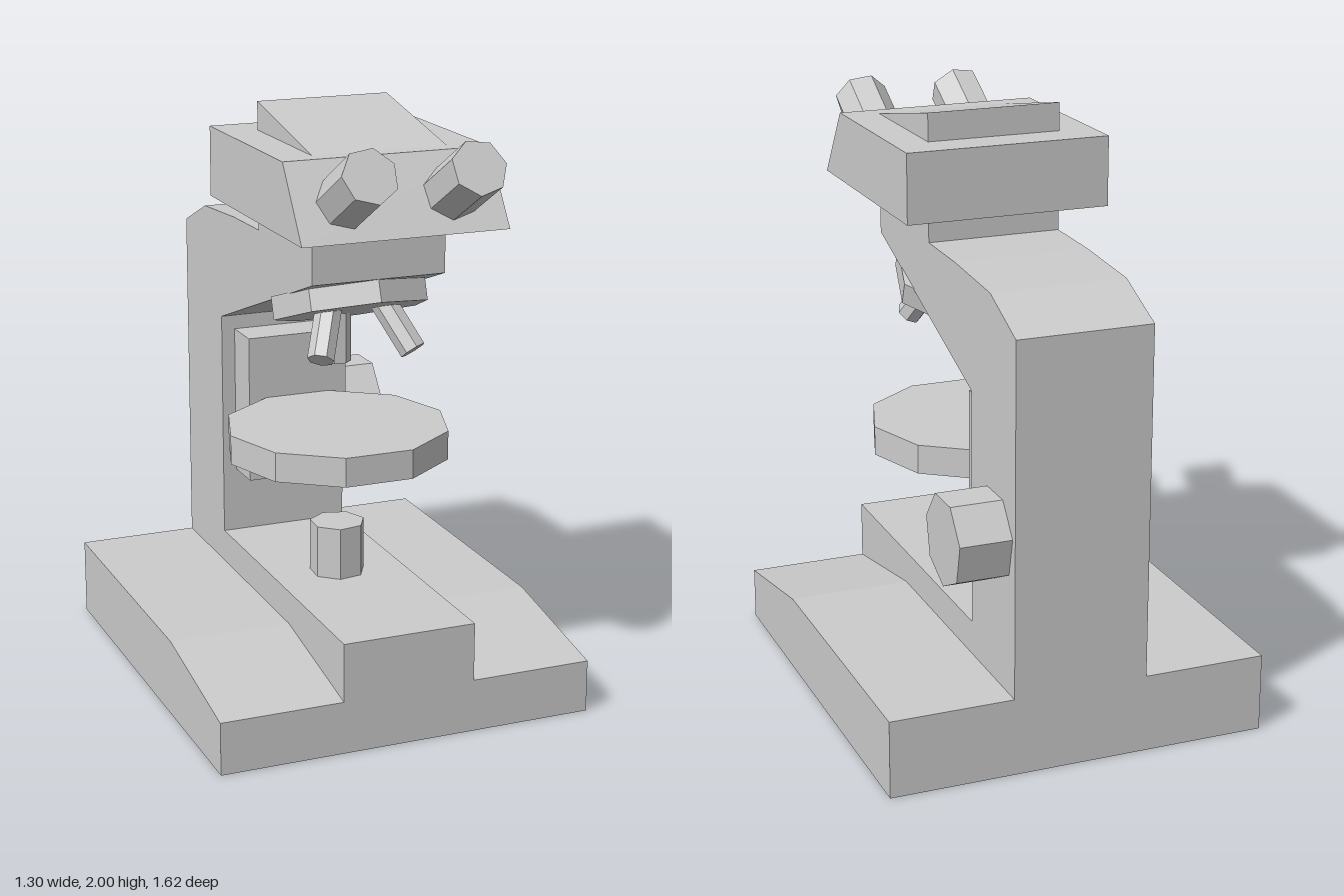
import * as THREE from 'three';

const material = new THREE.MeshStandardMaterial({ color: 0xcccccc, flatShading: true });

// Side profile of [z, y] points, extruded across x and centred on it
function slab(name, halfWidth, points) {
  const shape = new THREE.Shape(points.map(([z, y]) => new THREE.Vector2(z, y)));
  const geometry = new THREE.ExtrudeGeometry(shape, { depth: halfWidth * 2, bevelEnabled: false });
  geometry.translate(0, 0, -halfWidth).rotateY(-Math.PI / 2);
  const mesh = new THREE.Mesh(geometry, material);
  mesh.name = name;
  return mesh;
}

// Faceted rod between two points, with its first corner at the given roll in degrees
function rod(name, from, to, radius, sides = 7, roll = 0) {
  const a = new THREE.Vector3(...from);
  const axis = new THREE.Vector3(...to).sub(a);
  const geometry = new THREE.CylinderGeometry(
    radius, radius, axis.length(), sides, 1, false, THREE.MathUtils.degToRad(roll));
  const mesh = new THREE.Mesh(geometry, material);
  mesh.position.copy(a).addScaledVector(axis, 0.5);
  mesh.quaternion.setFromUnitVectors(new THREE.Vector3(0, 1, 0), axis.normalize());
  mesh.name = name;
  return mesh;
}

export function createModel() {
  const model = new THREE.Group();
  model.name = 'microscope';

  // Foot with a sloping front, and the C-shaped frame standing on it
  model.add(slab('base', 0.65, [
    [0.69, 0], [0.69, 0.18], [0.2, 0.265], [-0.81, 0.265], [-0.81, 0],
  ]));
  model.add(slab('frame', 0.23, [
    [0.69, 0.18], [0.69, 0.38], [-0.44, 0.38], [-0.44, 1.18], [0.42, 1.49],
    [0.42, 1.67], [-0.06, 1.67], [-0.06, 1.57], [-0.3, 1.565], [-0.6, 1.545],
    [-0.81, 1.455], [-0.81, 0.265], [0.2, 0.265],
  ]));

  // Viewing head with a wedge on top
  model.add(slab('head', 0.35, [
    [0.64, 1.67], [0.48, 1.905], [-0.19, 1.905], [-0.19, 1.67],
  ]));
  model.add(slab('headWedge', 0.23, [[0.42, 1.905], [-0.06, 2], [-0.06, 1.905]]));

  // Mirrored pairs: eyepieces and the two outer objectives
  for (const side of [-1, 1]) {
    model.add(rod('eyepiece', [side * 0.18, 1.72, 0.453], [side * 0.18, 1.9, 0.765],
      0.092, 7, 180 + side * 17));
    model.add(rod('outerObjective', [side * 0.163, 1.215, 0.327], [side * 0.095, 1.365, 0.23], 0.045));
  }

  // Tilted nosepiece disc and rear objective
  model.add(rod('nosepiece', [0, 1.332, 0.196], [0, 1.405, 0.17], 0.26));
  model.add(rod('rearObjective', [0, 1.13, 0.07], [0, 1.31, 0.07], 0.046, 7, 17));

  // Stage, its carrier on the column, and the lamp below
  model.add(rod('stage', [0, 0.81, 0.07], [0, 0.91, 0.07], 0.383, 10, 18));
  model.add(slab('stageCarrier', 0.182, [
    [-0.295, 0.61], [-0.295, 1.13], [-0.44, 1.13], [-0.44, 0.61],
  ]));
  model.add(rod('lamp', [0, 0.38, 0.073], [0, 0.56, 0.073], 0.095, 7, -16));

  // Focus knob on the left side only
  model.add(rod('focusKnob', [0.23, 0.767, -0.64], [0.405, 0.767, -0.64], 0.153, 7, 90));

  return model;
}
